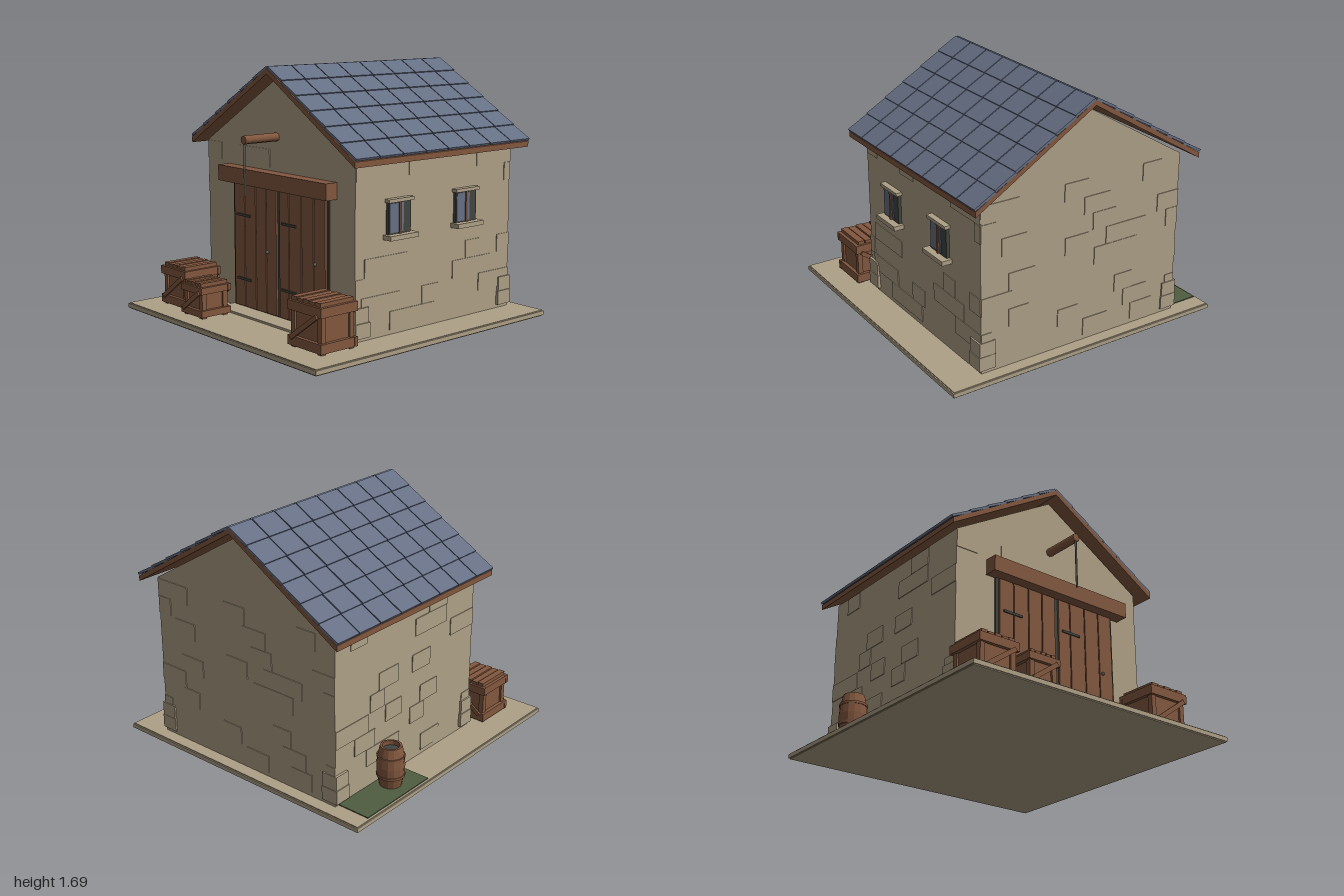
import * as THREE from 'three';

const mat = (name, color) => {
  const m = new THREE.MeshStandardMaterial({ color });
  m.name = name;
  return m;
};

export function createModel() {
  const root = new THREE.Group();
  root.name = 'storehouse';
  const stone = mat('stone', 0xaea086);
  const slate = mat('slate', 0x667085);
  const wood = mat('wood', 0x83583f);
  const dark = mat('dark iron', 0x42453f);
  const grass = mat('grass', 0x4f5d40);
  const ropeGrey = mat('rope grey', 0x666660);

  const add = (parent, name, geo, material, x = 0, y = 0, z = 0) => {
    const m = new THREE.Mesh(geo, material);
    m.name = name;
    m.position.set(x, y, z);
    parent.add(m);
    return m;
  };
  // Box given by its minimum and maximum corners
  const span = (parent, name, material, x0, x1, y0, y1, z0, z1) =>
    add(parent, name, new THREE.BoxGeometry(x1 - x0, y1 - y0, z1 - z0), material,
      (x0 + x1) / 2, (y0 + y1) / 2, (z0 + z1) / 2);
  const group = (name, parent = root) => {
    const g = new THREE.Group();
    g.name = name;
    parent.add(g);
    return g;
  };
  const extrude = (pts, depth) => new THREE.ExtrudeGeometry(
    new THREE.Shape(pts.map(p => new THREE.Vector2(...p))), { depth, bevelEnabled: false });
  let seed = 11;
  const rand = () => (seed = (seed * 16807) % 2147483647) / 2147483647;

  // Ground slab, door step and grass patch
  span(root, 'groundSlab', stone, -1, 1, 0.006, 0.034, -1, 1);
  span(root, 'groundSlabCore', stone, -0.993, 0.993, 0, 0.04, -0.993, 0.993);
  span(root, 'doorStep', stone, -0.47, 0.52, 0.03, 0.055, 0.45, 0.63);
  span(root, 'grassPatch', grass, -0.98, -0.7, 0.038, 0.046, -0.88, -0.28);

  // Walls with gables
  add(root, 'walls', extrude([[-0.75, 0.03], [0.75, 0.03], [0.75, 1.155], [0, 1.607], [-0.75, 1.155]], 1.39),
    stone, 0, 0, -0.91);

  // Scattered raised stones; u runs along the wall, blocked areas stay clear
  const stones = group('wallStones');
  const lay = (u0, u1, blocked, place) => {
    for (let row = 0; row < 9; row++) {
      const y = 0.07 + row * 0.12;
      let u = u0 - (row % 2) * 0.08;
      while (u < u1) {
        const w = 0.13 + rand() * 0.07;
        const a = Math.max(u, u0), b = Math.min(u + w, u1);
        if (rand() < 0.3 && b - a > 0.05 && !blocked(a, b, y, y + 0.118)) place(a, b, y, y + 0.118);
        u += w;
      }
    }
  };
  const e = 0.005;
  const doorArea = (a, b, y0) => b > -0.53 && a < 0.6 && y0 < 1.02;
  const windowArea = (a, b, y0, y1) => y1 > 0.64 && y0 < 0.91 &&
    [0.13, -0.465].some(c => b > c - 0.13 && a < c + 0.13);
  lay(-0.75, 0.75, doorArea, (a, b, c, d) => span(stones, 'frontStone', stone, a, b, c, d, 0.47, 0.48 + e));
  lay(-0.75, 0.75, () => false, (a, b, c, d) => span(stones, 'backStone', stone, a, b, c, d, -0.91 - e, -0.9));
  lay(-0.91, 0.48, windowArea, (a, b, c, d) => span(stones, 'leftStone', stone, 0.74, 0.75 + e, c, d, a, b));
  lay(-0.91, 0.48, () => false, (a, b, c, d) => span(stones, 'rightStone', stone, -0.75 - e, -0.74, c, d, a, b));

  // Corner stones at the foot of the walls
  for (const sx of [-1, 1]) for (const [z, inward] of [[0.49, -1], [-0.92, 1]]) for (const i of [0, 1]) {
    const len = 0.12 - i * 0.008;
    add(root, 'cornerStone', new THREE.BoxGeometry(len, 0.094, len), stone,
      sx * (0.77 - i * 0.004 - len / 2), 0.11 + i * 0.096, z + inward * len / 2);
  }

  // Roof boards and slate tiles
  const roof = group('roof');
  add(roof, 'roofBoards', extrude([[-0.835, 1.13], [0, 1.64], [0.835, 1.13], [0.835, 1.167], [0, 1.675], [-0.835, 1.167]], 1.555),
    wood, 0, 0, -0.995);
  const pitch = Math.atan(0.608), rowLen = 0.977 / 6, colLen = 1.56 / 8;
  const tileGeo = new THREE.BoxGeometry(rowLen - 0.001, 0.016, colLen - 0.007);
  for (const turn of [0, Math.PI]) {
    const half = group('roofHalf', roof);
    half.position.set(0, 1.675, -0.22);
    half.rotation.y = turn;
    const slope = group('slope', half);
    slope.rotation.z = -pitch;
    for (let r = 0; r < 6; r++) for (let c = 0; c < 8; c++) {
      const t = add(slope, 'tile', tileGeo, slate, rowLen * (r + 0.5), 0.01, colLen * (c - 3.5));
      t.rotation.z = 0.04;
    }
  }

  // Double door with planks, straps and knobs
  const door = group('door');
  span(door, 'doorBacking', dark, -0.455, 0.52, 0.055, 0.905, 0.47, 0.49);
  for (const edges of [[-0.435, -0.32, -0.2, -0.09, 0.02], [0.045, 0.145, 0.27, 0.39, 0.505]])
    for (let i = 0; i < 4; i++)
      span(door, 'plank', wood, edges[i] + 0.004, edges[i + 1] - 0.004, 0.062, 0.9, 0.48, 0.503);
  for (const x of [-0.4, 0.075]) for (const y of [0.25, 0.685])
    span(door, 'hingeStrap', dark, x, x + 0.145, y - 0.008, y + 0.008, 0.5, 0.511);
  for (const x of [-0.07, 0.41])
    add(door, 'knob', new THREE.SphereGeometry(0.012, 8, 6), ropeGrey, x, 0.475, 0.511);
  span(door, 'doorLintel', wood, -0.52, 0.585, 0.905, 1.01, 0.47, 0.57);

  // Hoist beam with hanging rope
  const beam = add(root, 'hoistBeam', new THREE.CylinderGeometry(0.028, 0.028, 0.3, 8), wood, 0, 1.235, 0.595);
  beam.rotation.x = Math.PI / 2;
  add(root, 'hoistRope', new THREE.CylinderGeometry(0.007, 0.007, 0.35, 6), ropeGrey, 0, 1.055, 0.738);

  // Windows on the left wall
  for (const z of [0.13, -0.465]) {
    const w = group('window');
    span(w, 'frame', dark, 0.74, 0.772, 0.68, 0.88, z - 0.095, z + 0.095);
    span(w, 'paneFront', slate, 0.77, 0.776, 0.69, 0.872, z + 0.012, z + 0.088);
    span(w, 'paneBack', slate, 0.77, 0.776, 0.69, 0.872, z - 0.03, z - 0.012);
    span(w, 'mullion', wood, 0.765, 0.782, 0.68, 0.88, z - 0.009, z + 0.009);
    span(w, 'sill', stone, 0.74, 0.82, 0.65, 0.68, z - 0.12, z + 0.12);
    span(w, 'lintel', stone, 0.74, 0.79, 0.88, 0.902, z - 0.108, z + 0.108);
  }

  // Crates: body, rails, corner posts, lid slats and diagonal braces
  const crate = (x, z, w, h, d) => {
    const g = group('crate');
    g.position.set(x, 0.042, z);
    const hw = w / 2, hd = d / 2, rail = h * 0.19;
    span(g, 'body', wood, -hw + 0.03, hw - 0.03, 0.01, h - 0.03, -hd + 0.03, hd - 0.03);
    for (const y of [0.012, h - rail - 0.025]) {
      for (const s of [-1, 1]) {
        add(g, 'longRail', new THREE.BoxGeometry(w, rail, 0.024), wood, 0, y + rail / 2, s * (hd - 0.012));
        add(g, 'sideRail', new THREE.BoxGeometry(0.024, rail, d - 0.05), wood, s * (hw - 0.014), y + rail / 2, 0);
      }
    }
    for (const sx of [-1, 1]) for (const sz of [-1, 1])
      add(g, 'post', new THREE.BoxGeometry(0.035, h - 0.03, 0.035), wood, sx * (hw - 0.034), (h - 0.03) / 2, sz * (hd - 0.034));
    const n = 5, step = (w - 0.04) / n;
    for (let i = 0; i < n; i++)
      add(g, 'lidSlat', new THREE.BoxGeometry(step - 0.007, 0.032, d - 0.03), wood,
        (i - (n - 1) / 2) * step, h - 0.016 - (i % 2) * 0.004, 0);
    for (const s of [-1, 1]) {
      const brace = add(g, 'brace', new THREE.BoxGeometry(w * 0.95, 0.03, 0.014), wood, 0, h * 0.47, s * (hd + 0.004));
      brace.rotation.z = 0.62;
    }
  };
  crate(-0.69, 0.69, 0.29, 0.29, 0.29);
  crate(-0.4, 0.77, 0.235, 0.235, 0.235);
  crate(0.682, 0.68, 0.315, 0.315, 0.29);

  // Barrel with open top and hoops
  const barrel = group('barrel');
  barrel.position.set(-0.84, 0.045, -0.485);
  const profile = [[0, 0], [0.07, 0], [0.087, 0.08], [0.09, 0.14], [0.086, 0.2], [0.07, 0.275], [0.056, 0.275], [0.056, 0.24]];
  const staves = new THREE.LatheGeometry(profile.map(p => new THREE.Vector2(...p)), 14).toNonIndexed();
  staves.computeVertexNormals();
  add(barrel, 'staves', staves, wood);
  add(barrel, 'barrelInside', new THREE.CylinderGeometry(0.057, 0.057, 0.006, 14), dark, 0, 0.242, 0);
  for (const y of [0.075, 0.205])
    add(barrel, 'hoop', new THREE.CylinderGeometry(0.091, 0.091, 0.016, 14), wood, 0, y, 0);

  return root;
}
